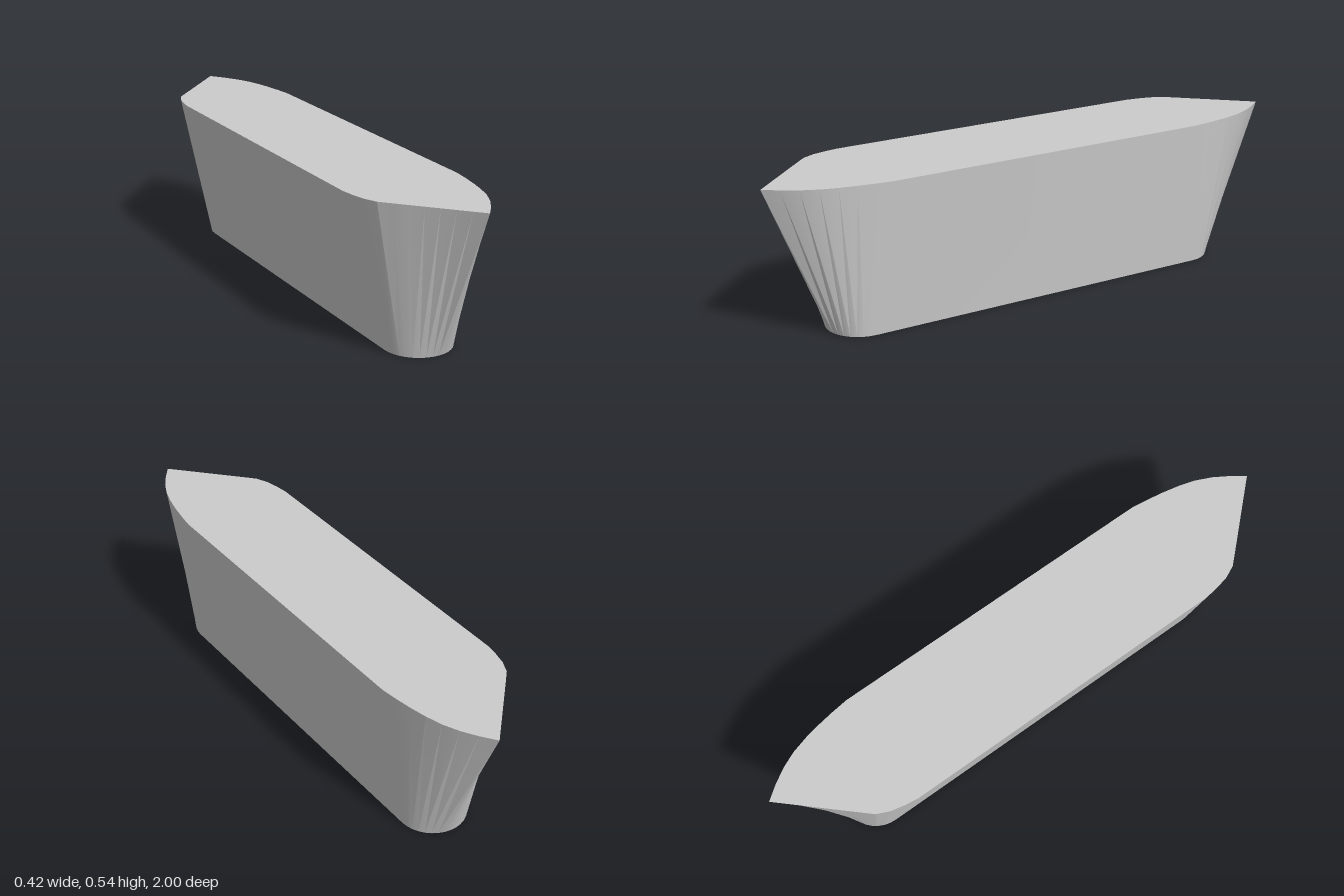
import * as THREE from 'three';
import { toCreasedNormals } from 'three/addons/utils/BufferGeometryUtils.js';

const HEIGHT = 0.54, WALL = 0.042;
const APEX_ANGLE = Math.PI * 75 / 180; // where the pointed end meets the rounded foot

const v2 = (x, z) => new THREE.Vector2(x, z);

// Full loop from its +z half (running from +x to -x), mirrored to -z
const mirrorLoop = half => [...half, ...half.map(p => v2(p.x, -p.y)).reverse()];

// Pointed upper outline: a curved flank on +x, a straight chamfer with a rounded corner on -x
function topOutline() {
  const flank = new THREE.SplineCurve([
    v2(0.21, 0.6), v2(0.195, 0.71), v2(0.167, 0.83), v2(0.125, 0.92), v2(0.068, 1)]);
  const chamfer = new THREE.CurvePath();
  chamfer.add(new THREE.LineCurve(v2(0.068, 1), v2(-0.168, 0.748)));
  chamfer.add(new THREE.QuadraticBezierCurve(v2(-0.168, 0.748), v2(-0.198, 0.715), v2(-0.21, 0.6)));
  return mirrorLoop([...flank.getSpacedPoints(7), ...chamfer.getSpacedPoints(10).slice(1)]);
}

// Rounded slot outline of the foot, with points matched to the upper outline
function footOutline() {
  const half = [];
  for (let i = 0; i <= 17; i++) {
    const a = i <= 7 ? APEX_ANGLE * i / 7
      : APEX_ANGLE + (Math.PI - APEX_ANGLE) * (i - 7) / 10;
    half.push(v2(0.037 + 0.12 * Math.cos(a), 0.655 + 0.12 * Math.sin(a)));
  }
  return mirrorLoop(half);
}

// Mitred inward offset of a loop
function inset(loop, t) {
  const n = loop.length;
  const normal = (a, b) => {
    const d = b.clone().sub(a).normalize();
    return v2(-d.y, d.x);
  };
  return loop.map((p, i) => {
    const n1 = normal(loop[(i + n - 1) % n], p), n2 = normal(p, loop[(i + 1) % n]);
    return p.clone().add(n1.clone().add(n2).multiplyScalar(t / (1 + n1.dot(n2))));
  });
}

const atHeight = (loop, y) => loop.map(p => new THREE.Vector3(p.x, y, p.y));
const centreOf = loop => loop.map(p => new THREE.Vector3(0, p.y, 0));

// Closed band of quads between two matching loops
function band(name, lower, upper) {
  const n = lower.length, index = [];
  for (let i = 0; i < n; i++) {
    const j = (i + 1) % n;
    index.push(j, i, n + i, j, n + i, n + j);
  }
  const geo = new THREE.BufferGeometry().setFromPoints([...lower, ...upper]);
  geo.setIndex(index);
  const mesh = new THREE.Mesh(toCreasedNormals(geo, 0.2),
    new THREE.MeshStandardMaterial({ color: 0xcccccc }));
  mesh.name = name;
  return mesh;
}

export function createModel() {
  const top = topOutline(), foot = footOutline();
  const outerFoot = atHeight(foot, 0), outerTop = atHeight(top, HEIGHT);
  const innerFoot = atHeight(inset(foot, WALL), 0);
  const innerTop = atHeight(inset(top, WALL), HEIGHT - WALL);

  const model = new THREE.Group();
  model.name = 'flaredHollowHousing';
  model.add(
    band('outerWall', outerFoot, outerTop),
    band('topPlate', outerTop, centreOf(outerTop)),
    band('bottomRim', innerFoot, outerFoot),
    band('innerWall', innerTop, innerFoot),
    band('cavityCeiling', centreOf(innerTop), innerTop));
  return model;
}
